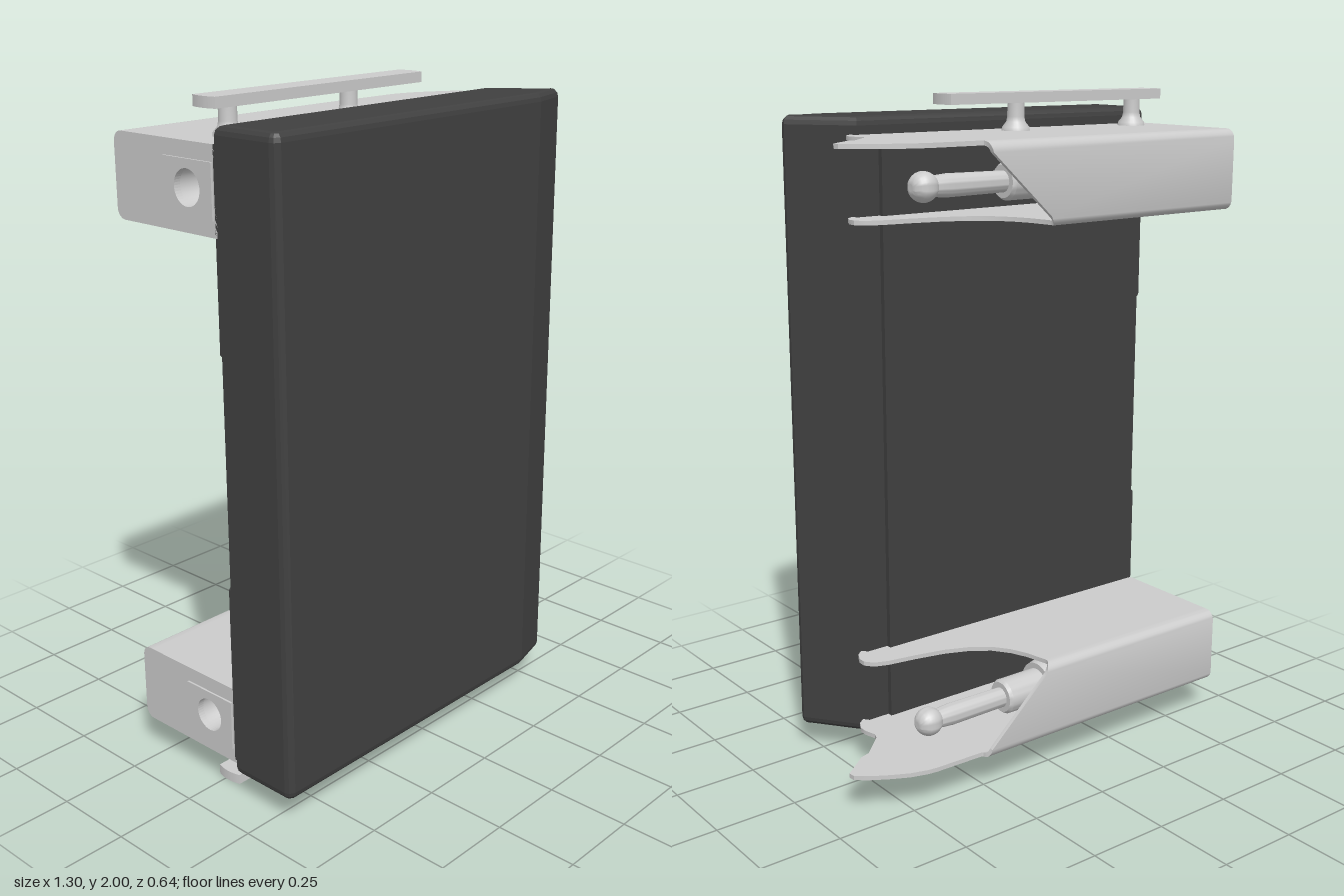
import * as THREE from 'three';
import { toCreasedNormals } from 'three/addons/utils/BufferGeometryUtils.js';

const grey = new THREE.MeshStandardMaterial({ color: 0xcccccc });
const greyThin = new THREE.MeshStandardMaterial({ color: 0xcccccc, side: THREE.DoubleSide });
const dark = new THREE.MeshStandardMaterial({ color: 0x404040 });

const X0 = -0.645, HALF = 0.12, BACK = -0.312, WALL = 0.013;

function add(parent, name, geo, mat = grey) {
  const m = new THREE.Mesh(geo, mat);
  m.name = name;
  parent.add(m);
  return m;
}

const shapeOf = (pts) => new THREE.Shape(pts.map(([x, y]) => new THREE.Vector2(x, y)));

// turned part along +x, points are [x, radius]
function turned(pts, segs = 32) {
  const geo = new THREE.LatheGeometry(pts.map(([x, r]) => new THREE.Vector2(r, x)), segs);
  return toCreasedNormals(geo.rotateZ(-Math.PI / 2), 0.6);
}

// U-shaped channel whose +x end is cut to a different length at each profile point
function channelGeometry(s) {
  const outerPlate = [[0.12, 0.43], [0.1, 0.455], [0.07, 0.47], [0.045, 0.47], [0.01, 0.46], [-0.01, 0.467],
    [-0.08, 0.54], [-0.088, 0.57], [-0.15, 0.65], [-0.17, 0.648], [-0.2, 0.61], [-0.23, 0.56],
    [-0.255, 0.51], [-0.27, 0.46], [-0.274, 0.43], [-0.278, 0.275]];
  const innerPlate = [[-0.27, 0.03], [-0.2, 0.045], [-0.15, 0.065], [-0.1, 0.1], [-0.06, 0.155], [-0.03, 0.23],
    [-0.01, 0.32], [0.005, 0.41], [0.02, 0.45], [0.045, 0.47], [0.07, 0.47], [0.1, 0.455], [0.12, 0.43]];
  const R = 0.03, prof = outerPlate.map(([z, x]) => [HALF, z, x]);
  const bend = (start, sign, x) => {
    for (let i = 0; i <= 6; i++) {
      const a = start + (i / 6) * Math.PI / 2;
      prof.push([sign * (HALF - R) + R * Math.cos(a), BACK + R - R * Math.sin(a), x(i / 6)]);
    }
  };
  bend(0, 1, (t) => 0.27 - 0.01 * t);
  bend(Math.PI / 2, -1, (t) => 0.06 - 0.03 * t);
  innerPlate.forEach(([z, x]) => prof.push([-HALF, z, x]));

  const n = prof.length;
  const rows = prof.map(([y, z, x], i) => {
    const a = prof[Math.max(i - 1, 0)], b = prof[Math.min(i + 1, n - 1)];
    const ty = b[0] - a[0], tz = b[1] - a[1], l = Math.hypot(ty, tz);
    const yi = y + WALL * tz / l, zi = z - WALL * ty / l;
    return [[X0, y, z], [x, y, z], [X0, yi, zi], [x, yi, zi]];
  });
  const pos = [];
  const quad = (a, b, c, d) => {
    const order = s > 0 ? [a, b, c, a, c, d] : [a, c, b, a, d, c];
    order.forEach((p) => pos.push(p[0], p[1] * s, p[2]));
  };
  for (let i = 0; i < n - 1; i++) {
    const [a, b, c, d] = rows[i], [e, f, g, h] = rows[i + 1];
    quad(a, b, f, e); // outside
    quad(c, g, h, d); // inside
    quad(b, d, h, f); // cut end
    quad(a, e, g, c); // square end
  }
  const geo = new THREE.BufferGeometry();
  geo.setAttribute('position', new THREE.Float32BufferAttribute(pos, 3));
  return toCreasedNormals(geo, 0.6);
}

// plate in the y-z plane with a round hole, extruded towards +x
function holedPlate(z0, z1, h, r, depth, holeZ) {
  const sh = new THREE.Shape();
  sh.moveTo(-z1, -h).lineTo(-z0 - r, -h).quadraticCurveTo(-z0, -h, -z0, -h + r);
  sh.lineTo(-z0, h - r).quadraticCurveTo(-z0, h, -z0 - r, h).lineTo(-z1, h).closePath();
  sh.holes.push(new THREE.Path().absarc(-holeZ, 0, 0.05, 0, Math.PI * 2, true));
  return new THREE.ExtrudeGeometry(sh, { depth, bevelEnabled: false, curveSegments: 20 }).rotateY(Math.PI / 2);
}

function bracket(s) {
  const g = new THREE.Group();
  g.name = s > 0 ? 'upperBracket' : 'lowerBracket';
  g.position.y = 1 + s * 0.77;
  add(g, 'channel', channelGeometry(s), greyThin);
  const holeZ = -0.015;
  add(g, 'endWall', holedPlate(BACK + 0.003, 0.11, HALF - 0.003, 0.028, 0.015, holeZ)).position.x = X0;
  add(g, 'socketPlate', holedPlate(-0.11, 0.08, 0.075, 0.004, 0.01, holeZ)).position.x = X0 - 0.006;
  // blind socket behind the hole
  add(g, 'socketCup', turned([[X0, 0.052], [-0.45, 0.052], [-0.44, 0.046], [-0.44, 0]]), greyThin)
    .position.z = holeZ;
  // plunger with collar, rod and ball end
  const ball = [];
  for (let i = 0; i <= 10; i++) {
    const a = 2.4 * (1 - i / 10);
    ball.push([0.405 + 0.042 * Math.cos(a), 0.042 * Math.sin(a)]);
  }
  add(g, 'plunger', turned([[-0.63, 0.075], [-0.02, 0.075], [0, 0.07], [0, 0.053], [0.13, 0.053], [0.14, 0.046],
    [0.14, 0.03], [0.33, 0.032], ...ball])).position.z = -0.195;

  // outer rail on two flared posts
  const rail = new THREE.Shape();
  rail.moveTo(-0.6, -0.043).lineTo(0.198, -0.043).quadraticCurveTo(0.212, 0, 0.198, 0.043);
  rail.lineTo(-0.6, 0.043).quadraticCurveTo(-0.614, 0, -0.6, -0.043);
  const railGeo = new THREE.ExtrudeGeometry(rail, { depth: 0.03, bevelEnabled: false }).rotateX(-Math.PI / 2);
  add(g, 'rail', railGeo).position.set(0, s > 0 ? 0.2 : -0.23, 0.006);
  for (const x of [-0.52, -0.065]) {
    const pts = [[0.115, 0.042], [0.13, 0.04], [0.145, 0.028], [0.16, 0.025], [0.205, 0.025]];
    const geo = new THREE.LatheGeometry(pts.map(([y, r]) => new THREE.Vector2(r, y)), 24);
    if (s < 0) geo.rotateX(Math.PI);
    add(g, 'railPost', geo).position.set(x, 0, 0.006);
  }
  return g;
}

function panel() {
  const g = new THREE.Group();
  g.name = 'panel';
  // slab with a pointed right edge; shape y is -z
  const slab = shapeOf([[-0.653, -0.295], [-0.648, -0.308], [-0.632, -0.317], [0.42, -0.317], [0.551, -0.283],
    [0.551, -0.272], [0.42, -0.1], [-0.653, -0.1]]);
  const slabGeo = new THREE.ExtrudeGeometry(slab, {
    depth: 1.81, bevelThickness: 0.025, bevelSize: 0.02, bevelOffset: -0.02, bevelSegments: 3,
  }).rotateX(-Math.PI / 2);
  add(g, 'slab', slabGeo, dark).position.y = 0.105;
  // raised back plate with an arc-shaped recess at its edge
  const plate = new THREE.Shape();
  plate.moveTo(X0, 0.12).lineTo(0.35, 0.12).lineTo(0.35, 1.89).lineTo(X0, 1.89).lineTo(X0, 1.34);
  plate.absarc(X0 - 0.34, 1, 0.48, 0.784, -0.784, true);
  plate.closePath();
  add(g, 'backPlate', new THREE.ExtrudeGeometry(plate, { depth: 0.03, bevelEnabled: false, curveSegments: 32 }), dark)
    .position.z = 0.084;
  return g;
}

export function createModel() {
  const model = new THREE.Group();
  model.name = 'panelWithBrackets';
  // very slight backward lean about mid height
  const lean = new THREE.Group();
  lean.name = 'assembly';
  lean.rotation.x = -0.005;
  lean.position.set(0, 0, 0.005);
  lean.add(panel(), bracket(1), bracket(-1));
  model.add(lean);
  return model;
}
